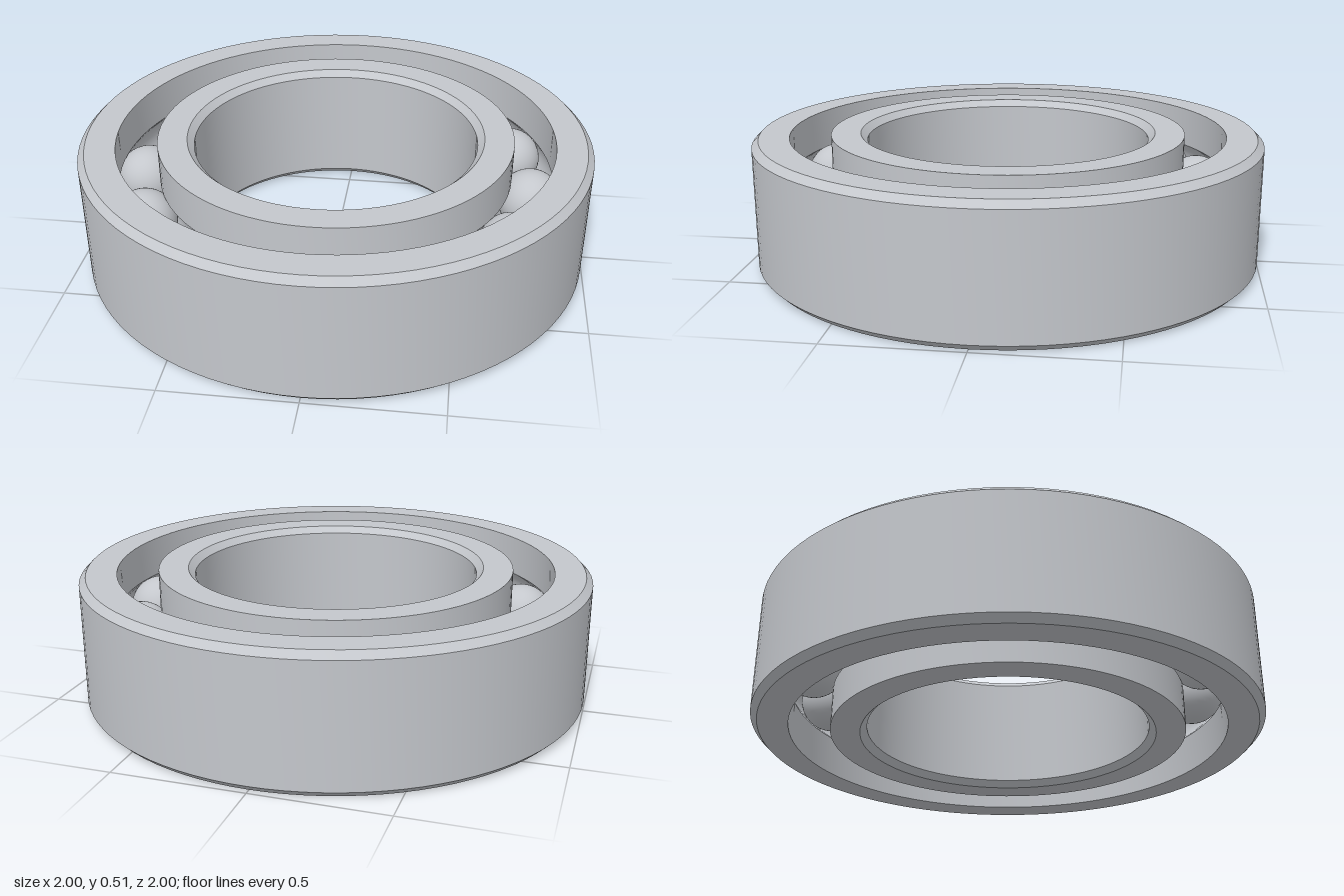
import * as THREE from 'three';
import { toCreasedNormals } from 'three/addons/utils/BufferGeometryUtils.js';

const HEIGHT = 0.513;
const MID = HEIGHT / 2;
const CHAMFER = 0.026;
const PITCH = 0.776;        // radius of the circle of ball centres
const BALL_RADIUS = 0.125;
const BALL_COUNT = 14;
const GROOVE_RADIUS = 0.127;
const SEGMENTS = 96;

// Arc of a raceway groove, cut into a wall at the given radius.
// side +1 is the outer ring (runs downwards), -1 the inner ring (runs upwards).
function groove(wallRadius, side) {
  const half = Math.acos(Math.abs(wallRadius - PITCH) / GROOVE_RADIUS);
  const points = [];
  const steps = 14;
  for (let i = 0; i <= steps; i++) {
    const t = side * half * (1 - (2 * i) / steps);
    points.push([
      PITCH + side * GROOVE_RADIUS * Math.cos(t),
      MID + GROOVE_RADIUS * Math.sin(t),
    ]);
  }
  return points;
}

// Revolve a closed, counter-clockwise [radius, y] profile.
function ring(name, profile, material) {
  const points = [...profile, profile[0]].map(([r, y]) => new THREE.Vector2(r, y));
  const geometry = toCreasedNormals(new THREE.LatheGeometry(points, SEGMENTS), 0.5);
  const mesh = new THREE.Mesh(geometry, material);
  mesh.name = name;
  return mesh;
}

export function createModel() {
  const model = new THREE.Group();
  model.name = 'ballBearing';

  const steel = new THREE.MeshStandardMaterial({ color: 0xc4c7cc });
  steel.name = 'steel';

  // Outer ring: chamfered outside, grooved inside
  const outerWall = 0.856;
  model.add(ring('outerRing', [
    [outerWall, 0],
    [1 - CHAMFER, 0],
    [1, CHAMFER],
    [1, HEIGHT - CHAMFER],
    [1 - CHAMFER, HEIGHT],
    [outerWall, HEIGHT],
    ...groove(outerWall, 1),
  ], steel));

  // Inner ring: grooved outside, chamfered bore
  const innerWall = 0.697;
  const bore = 0.556;
  model.add(ring('innerRing', [
    [bore + CHAMFER, 0],
    [innerWall, 0],
    ...groove(innerWall, -1),
    [innerWall, HEIGHT],
    [bore + CHAMFER, HEIGHT],
    [bore, HEIGHT - CHAMFER],
    [bore, CHAMFER],
  ], steel));

  // Balls, evenly spaced in the raceway
  const balls = new THREE.Group();
  balls.name = 'balls';
  const ballGeometry = new THREE.SphereGeometry(BALL_RADIUS, 40, 24);
  for (let i = 0; i < BALL_COUNT; i++) {
    const angle = (i / BALL_COUNT) * Math.PI * 2;
    const ball = new THREE.Mesh(ballGeometry, steel);
    ball.name = `ball${i + 1}`;
    ball.position.set(PITCH * Math.cos(angle), MID, PITCH * Math.sin(angle));
    balls.add(ball);
  }
  model.add(balls);

  return model;
}
